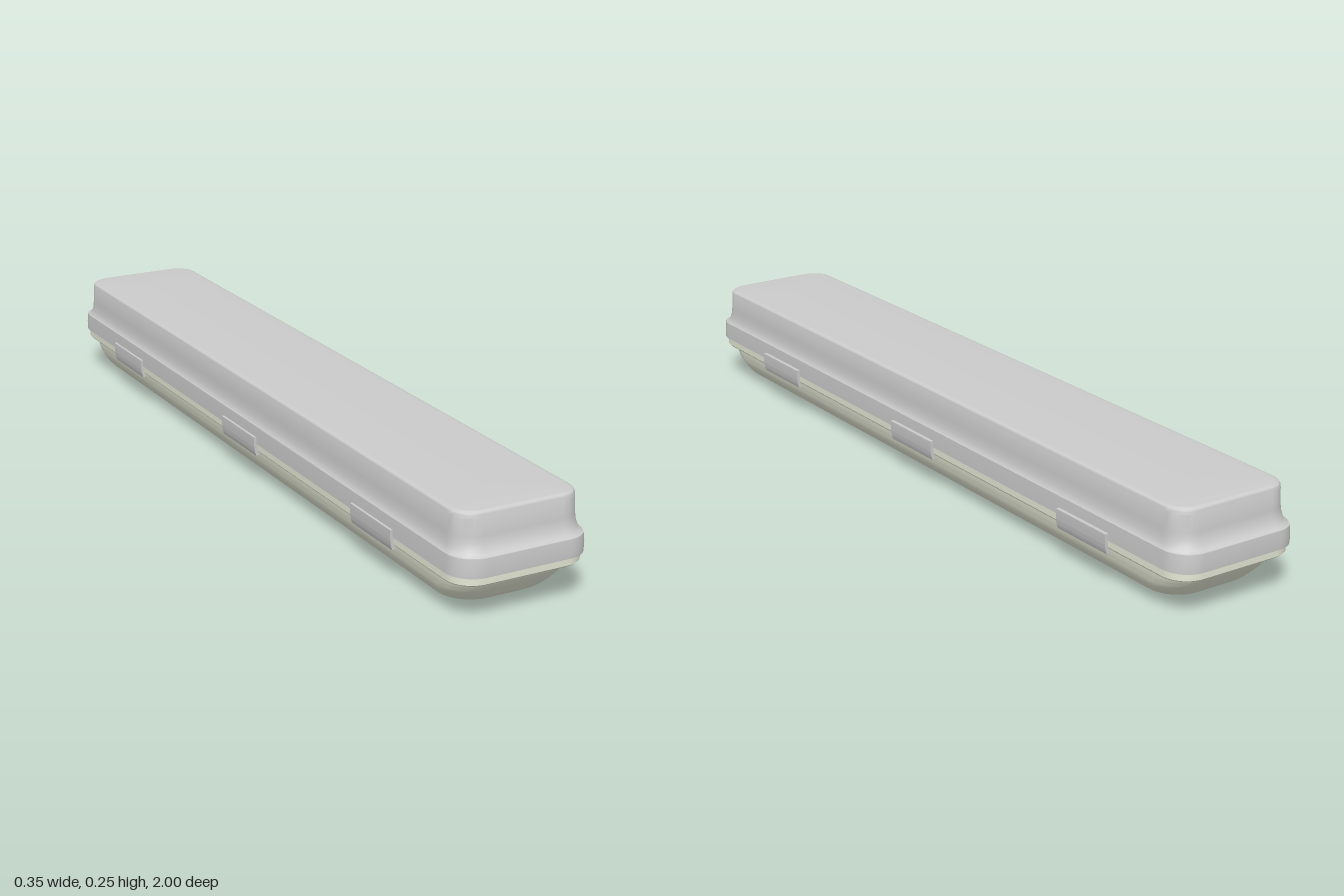
import * as THREE from 'three';
import { toCreasedNormals } from 'three/addons/utils/BufferGeometryUtils.js';

const grey = new THREE.MeshStandardMaterial({ color: 0xcccccc });
const ivory = new THREE.MeshStandardMaterial({ color: 0xe6e9d6 });
const CENTRE_X = -0.0025;
const CORNER_STEPS = 8;

// Rounded rectangle at height y, counter-clockwise seen from above
function ring([hx, hz, y, radius]) {
  const r = Math.min(radius, hx, hz);
  const points = [];
  for (let corner = 0; corner < 4; corner++) {
    const sx = corner === 0 || corner === 3 ? 1 : -1;
    const sz = corner < 2 ? -1 : 1;
    for (let i = 0; i <= CORNER_STEPS; i++) {
      const a = (corner + i / CORNER_STEPS) * Math.PI / 2;
      points.push(new THREE.Vector3(
        sx * (hx - r) + r * Math.cos(a), y, sz * (hz - r) - r * Math.sin(a)));
    }
  }
  return points;
}

// Skin over sections [halfWidth, halfLength, y, cornerRadius], bottom to top
function loft(sections, crease = 0.6) {
  const rings = sections.map(ring);
  const positions = [];
  const tri = new THREE.Triangle();
  const add = (a, b, c) => {
    tri.set(a, b, c);
    if (tri.getArea() > 1e-9) for (const p of [a, b, c]) positions.push(p.x, p.y, p.z);
  };
  for (let j = 0; j < rings.length - 1; j++) {
    const low = rings[j], high = rings[j + 1];
    for (let i = 0; i < low.length; i++) {
      const k = (i + 1) % low.length;
      add(low[i], low[k], high[k]);
      add(low[i], high[k], high[i]);
    }
  }
  const geometry = new THREE.BufferGeometry();
  geometry.setAttribute('position', new THREE.Float32BufferAttribute(positions, 3));
  return toCreasedNormals(geometry, crease);
}

function part(name, geometry, material) {
  const mesh = new THREE.Mesh(geometry, material);
  mesh.name = name;
  return mesh;
}

// Curved lower cover, bulging across its width
function coverSections() {
  const curve = new THREE.CatmullRomCurve3([
    [0.001, 0.86, 0], [0.05, 0.88, 0.003], [0.1, 0.9, 0.011], [0.126, 0.92, 0.024],
    [0.142, 0.94, 0.046], [0.149, 0.957, 0.068], [0.152, 0.967, 0.088],
  ].map(p => new THREE.Vector3(...p)));
  return curve.getPoints(18).map(p => [p.x, p.y, p.z, 0.07]);
}

// Bent latch plate, extruded along z on the +x side
function clipGeometry() {
  const shape = new THREE.Shape();
  shape.moveTo(0.163, 0.127);
  shape.lineTo(0.1745, 0.127);
  shape.lineTo(0.1745, 0.108);
  shape.quadraticCurveTo(0.1735, 0.09, 0.168, 0.079);
  shape.lineTo(0.159, 0.083);
  shape.quadraticCurveTo(0.166, 0.092, 0.167, 0.108);
  shape.lineTo(0.163, 0.113);
  const geometry = new THREE.ExtrudeGeometry(shape, { depth: 0.175, bevelEnabled: false, curveSegments: 8 });
  geometry.translate(0, 0, -0.0875);
  return toCreasedNormals(geometry, 0.5);
}

export function createModel() {
  const model = new THREE.Group();
  model.name = 'lightFitting';

  const body = new THREE.Group();
  body.name = 'body';
  body.position.x = CENTRE_X;
  model.add(body);

  // Cover bowl and the lip that meets the housing
  body.add(part('cover', loft(coverSections()), ivory));
  body.add(part('coverLip', loft([
    [0.148, 0.963, 0.088, 0.06], [0.158, 0.988, 0.088, 0.06], [0.161, 0.992, 0.092, 0.06],
    [0.161, 0.992, 0.111, 0.06],
  ]), ivory));

  // Rim band around the housing
  body.add(part('housingRim', loft([
    [0.15, 0.98, 0.11, 0.06], [0.1655, 0.999, 0.11, 0.062], [0.1655, 1, 0.13, 0.062],
    [0.164, 0.998, 0.153, 0.062], [0.145, 0.97, 0.153, 0.055],
  ]), grey));

  // Upper box: flared foot, upright walls, softened top edge
  body.add(part('housing', loft([
    [0.162, 0.995, 0.153, 0.06], [0.159, 0.988, 0.157, 0.06], [0.156, 0.982, 0.166, 0.058],
    [0.154, 0.977, 0.178, 0.056], [0.153, 0.975, 0.192, 0.055], [0.1515, 0.972, 0.232, 0.052],
    [0.1505, 0.971, 0.238, 0.051], [0.148, 0.968, 0.242, 0.049], [0.144, 0.964, 0.2445, 0.046],
    [0.138, 0.958, 0.245, 0.042], [0, 0.84, 0.245, 0],
  ]), grey));

  // Three latches along each side
  const clip = clipGeometry();
  const sides = { left: [0.635, 0.003, -0.67], right: [0.64, 0, -0.66] };
  for (const [side, places] of Object.entries(sides)) {
    for (const z of places) {
      const latch = part(side + 'Latch', clip, grey);
      latch.position.set(side === 'left' ? -0.0025 : 0.0005, 0, z);
      if (side === 'right') latch.rotation.y = Math.PI;
      model.add(latch);
    }
  }
  return model;
}
